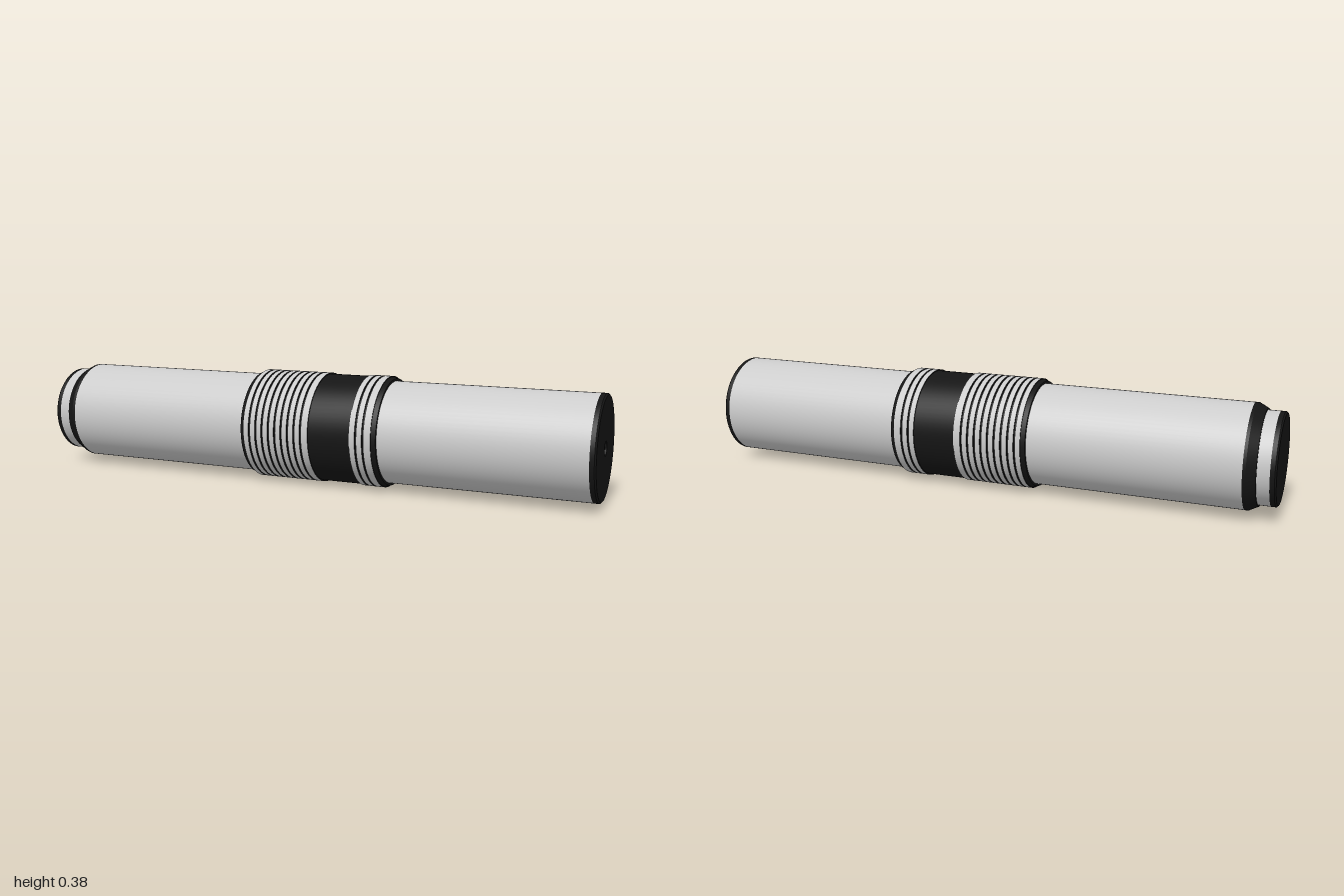
import * as THREE from 'three';
import { toCreasedNormals } from 'three/addons/utils/BufferGeometryUtils.js';

const R = 0.19;        // rib radius, also the height of the axis
const BODY = 0.174;    // tube radius
const TIP = 0.153;     // narrow end radius
const BAND = 0.186;    // dark grip radius
const GROOVE = 0.184;  // bottom of the rib grooves

export function createModel() {
  const model = new THREE.Group();
  const grey = new THREE.MeshStandardMaterial({ color: 0xcccccc });
  const black = new THREE.MeshStandardMaterial({ color: 0x151515 });

  // A surface of revolution about x, from [x, radius] pairs running towards +x
  const turn = (name, material, profile, parent = model) => {
    const points = profile.map(([x, r]) => new THREE.Vector2(r, x));
    const geometry = toCreasedNormals(new THREE.LatheGeometry(points, 72), 0.4);
    geometry.rotateZ(-Math.PI / 2);
    geometry.translate(0, R, 0);
    const mesh = new THREE.Mesh(geometry, material);
    mesh.name = name;
    parent.add(mesh);
  };

  // A run of grey ribs parted by thin black grooves
  const ribs = (name, start, end, count) => {
    const group = new THREE.Group();
    group.name = name;
    const pitch = (end - start) / count, gap = 0.006;
    for (let i = 0; i < count; i++) {
      const a = start + i * pitch, b = a + pitch;
      const last = i === count - 1;
      const edge = last ? b : b - gap;
      turn('rib', grey, [[a, R], [edge, R]], group);
      if (!last) turn('groove', black, [[edge, R], [edge, GROOVE], [b, GROOVE], [b, R]], group);
    }
    model.add(group);
  };

  // Narrow end
  turn('narrowEndCap', black, [[-1, 0], [-1, TIP - 0.005], [-0.995, TIP], [-0.98, TIP]]);
  turn('narrowEndRing', grey, [[-0.98, TIP], [-0.94, TIP]]);
  turn('shoulder', black, [[-0.94, TIP], [-0.94, 0.158], [-0.91, BODY], [-0.9, BODY]]);

  // Long tube and ribbed middle
  turn('longTube', grey, [[-0.9, BODY], [-0.195, BODY]]);
  turn('outerCollar', black, [[-0.195, BODY], [-0.195, 0.182], [-0.18, 0.187], [-0.18, R]]);
  ribs('wideRibs', -0.18, 0.06, 10);
  turn('gripBand', black, [[0.06, R], [0.06, BAND], [0.21, BAND], [0.21, R]]);
  ribs('narrowRibs', 0.21, 0.285, 3);
  turn('innerCollar', black, [[0.285, R], [0.285, 0.187], [0.3, 0.182], [0.3, BODY]]);

  // Short tube and its end cap with a small stepped recess
  turn('shortTube', grey, [[0.3, BODY], [0.98, BODY]]);
  turn('flatEndCap', black, [
    [0.98, BODY], [0.995, BODY], [1, BODY - 0.005], [1, 0.024], [0.994, 0.022],
    [0.994, 0.015], [0.988, 0.014], [0.988, 0],
  ]);
  return model;
}
